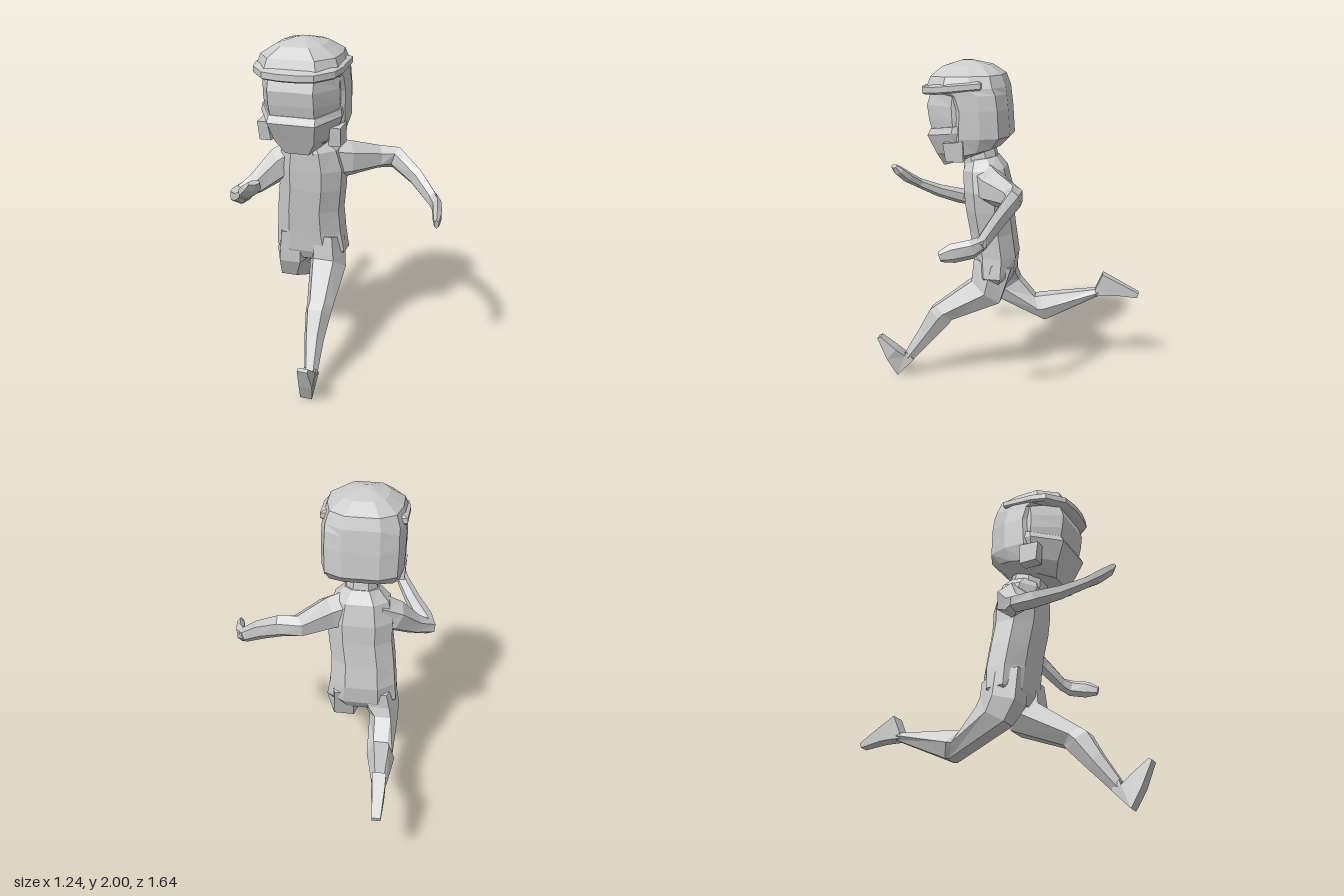
import * as THREE from 'three';

const V = (x, y, z) => new THREE.Vector3(x, y, z);
const material = new THREE.MeshStandardMaterial({ color: 0xcccccc, flatShading: true });

// Half outlines [x, t]: x = share of the half width, t = 0 at the first edge, 1 at the second
const HEX = [[0.55, 0], [1, 0.5], [0.55, 1]];
const OCT = [[0.5, 0], [1, 0.28], [1, 0.72], [0.5, 1]];
const BOX = [[1, 0], [1, 1]];
const SKULL = [[0.45, 0], [0.87, 0.14], [1, 0.42], [1, 0.75], [0.62, 1]];
const FACE = [[0.97, 0], [1, 0.35], [0.58, 1]];

// Closed, faceted skin over a list of point rings
function loft(name, rings) {
  const n = rings[0].length;
  const tris = [];
  for (let i = 0; i < rings.length - 1; i++) {
    for (let j = 0; j < n; j++) {
      const k = (j + 1) % n;
      const [a, b, c, d] = [rings[i][j], rings[i][k], rings[i + 1][k], rings[i + 1][j]];
      tris.push([a, b, c], [a, c, d]);
    }
  }
  const cap = (ring, flip) => {
    const mid = ring.reduce((s, p) => s.add(p), V(0, 0, 0)).divideScalar(n);
    ring.forEach((p, j) => {
      const q = ring[(j + 1) % n];
      tris.push(flip ? [mid, q, p] : [mid, p, q]);
    });
  };
  cap(rings[0], true);
  cap(rings[rings.length - 1], false);
  // turn the skin outward if its enclosed volume is negative
  const volume = tris.reduce((s, [a, b, c]) => s + a.dot(b.clone().cross(c)), 0);
  const points = tris.flatMap(([a, b, c]) => (volume < 0 ? [a, c, b] : [a, b, c]));
  const geometry = new THREE.BufferGeometry().setFromPoints(points);
  geometry.computeVertexNormals();
  const mesh = new THREE.Mesh(geometry, material);
  mesh.name = name;
  return mesh;
}

// Sections symmetric in x: [centre x, half width, z1, y1, z2, y2]
function sections(name, outline, list) {
  return loft(name, list.map(([cx, hw, z1, y1, z2, y2]) => {
    const side = (s) => ([x, t]) => V(cx + s * hw * x, y1 + (y2 - y1) * t, z1 + (z2 - z1) * t);
    return [...outline.map(side(1)), ...outline.map(side(-1)).reverse()];
  }));
}

// Limb along a path: [x, y, z, half height, half thickness]
function limb(name, list, sides = 6) {
  const p = list.map(([x, y, z]) => V(x, y, z));
  return loft(name, list.map(([, , , h, w], i) => {
    const dir = p[Math.min(i + 1, p.length - 1)].clone().sub(p[Math.max(i - 1, 0)]).normalize();
    const across = dir.clone().cross(V(0, 1, 0)).normalize();
    const up = across.clone().cross(dir);
    return Array.from({ length: sides }, (_, j) => {
      const a = ((j + 0.5) / sides) * Math.PI * 2;
      return p[i].clone().addScaledVector(across, w * Math.cos(a)).addScaledVector(up, h * Math.sin(a));
    });
  }));
}

// Head: shell with an open front, face panel, jaw mask and cap brim
function makeHead() {
  const head = new THREE.Group();
  head.name = 'head';
  const c = -0.165;
  head.add(sections('headShell', SKULL, [
    [c, 0.12, 0.11, 1.47, 0.31, 1.4],
    [c, 0.215, 0.04, 1.5, 0.34, 1.43],
    [c, 0.24, -0.02, 1.56, 0.36, 1.55],
    [c, 0.243, -0.01, 1.72, 0.35, 1.72],
    [c, 0.24, 0, 1.81, 0.38, 1.8],
    [c, 0.24, 0.005, 1.85, 0.475, 1.84],
    [c, 0.215, 0.03, 1.92, 0.45, 1.91],
    [c, 0.13, 0.11, 1.975, 0.39, 1.965],
    [c, 0.03, 0.22, 2, 0.28, 2],
  ]));
  head.add(sections('face', FACE, [
    [c, 0.215, 0.22, 1.55, 0.44, 1.55],
    [c, 0.225, 0.22, 1.66, 0.465, 1.66],
    [c, 0.225, 0.22, 1.74, 0.475, 1.74],
    [c, 0.225, 0.22, 1.82, 0.45, 1.82],
  ]));
  head.add(sections('jawMask', FACE, [
    [c, 0.12, 0.24, 1.42, 0.39, 1.37],
    [c, 0.2, 0.22, 1.48, 0.425, 1.45],
    [c, 0.238, 0.22, 1.6, 0.475, 1.56],
    [c, 0.232, 0.22, 1.64, 0.455, 1.6],
  ]));
  const brimHalf = [[1, 0], [1.02, 0.5], [0.95, 0.72], [0.6, 0.95], [0.2, 1]];
  head.add(sections('capBrim', brimHalf, [
    [c, 0.235, 0.14, 1.84, 0.5, 1.8],
    [c, 0.245, 0.13, 1.85, 0.52, 1.81],
    [c, 0.245, 0.13, 1.88, 0.52, 1.845],
    [c, 0.22, 0.15, 1.89, 0.48, 1.86],
  ]));
  // cheek flaps beside the mask
  for (const s of [-1, 1]) {
    head.add(sections('cheekFlap', BOX, [
      [c + s * 0.205, 0.035, 0.24, 1.42, 0.345, 1.42],
      [c + s * 0.215, 0.03, 0.24, 1.54, 0.36, 1.53],
    ]));
  }
  return head;
}

export function createModel() {
  const runner = new THREE.Group();
  runner.name = 'runner';
  runner.add(makeHead());

  runner.add(sections('neck', OCT, [
    [-0.165, 0.1, 0.06, 1.35, 0.27, 1.33],
    [-0.165, 0.085, 0.09, 1.5, 0.28, 1.48],
  ]));
  runner.add(sections('torso', OCT, [
    [-0.165, 0.1, 0.07, 1.43, 0.25, 1.4],
    [-0.165, 0.165, 0.02, 1.36, 0.27, 1.34],
    [-0.165, 0.195, -0.01, 1.23, 0.265, 1.22],
    [-0.17, 0.19, -0.015, 1.1, 0.255, 1.1],
    [-0.19, 0.19, -0.03, 0.95, 0.235, 0.96],
    [-0.195, 0.2, -0.05, 0.8, 0.215, 0.82],
    [-0.19, 0.215, -0.035, 0.68, 0.2, 0.69],
    [-0.19, 0.16, 0.01, 0.61, 0.17, 0.63],
  ]));

  // Left leg reaches forward
  runner.add(sections('leftLeg', HEX, [
    [-0.085, 0.1, 0.2, 0.8, -0.03, 0.74],
    [-0.08, 0.115, 0.215, 0.655, 0.04, 0.52],
    [-0.04, 0.08, 0.44, 0.49, 0.34, 0.4],
    [-0.04, 0.078, 0.48, 0.46, 0.36, 0.37],
    [-0.035, 0.06, 0.55, 0.33, 0.47, 0.25],
    [-0.015, 0.04, 0.65, 0.16, 0.61, 0.1],
  ]));
  runner.add(sections('leftFoot', BOX, [
    [-0.015, 0.036, 0.64, 0.17, 0.59, 0.12],
    [-0.02, 0.036, 0.65, 0.14, 0.7, 0.005],
    [0, 0.04, 0.7, 0.19, 0.76, 0.12],
    [0.005, 0.03, 0.8, 0.27, 0.82, 0.26],
  ]));

  // Right leg kicks back
  runner.add(sections('rightLeg', HEX, [
    [-0.29, 0.11, 0.2, 0.8, -0.03, 0.75],
    [-0.305, 0.12, 0.19, 0.6, -0.03, 0.65],
    [-0.335, 0.09, 0.13, 0.48, -0.05, 0.59],
    [-0.335, 0.08, -0.21, 0.325, -0.15, 0.475],
    [-0.345, 0.085, -0.23, 0.325, -0.18, 0.48],
    [-0.365, 0.042, -0.57, 0.49, -0.55, 0.53],
  ]));
  runner.add(sections('rightFoot', BOX, [
    [-0.365, 0.038, -0.54, 0.49, -0.54, 0.53],
    [-0.365, 0.04, -0.61, 0.495, -0.585, 0.635],
    [-0.37, 0.036, -0.67, 0.495, -0.66, 0.595],
    [-0.375, 0.025, -0.81, 0.48, -0.82, 0.51],
  ]));

  // Left arm swings out and back
  runner.add(limb('leftArm', [
    [-0.08, 1.27, 0.12, 0.13, 0.1],
    [0.03, 1.26, 0.06, 0.11, 0.095],
    [0.18, 1.245, -0.07, 0.07, 0.07],
    [0.28, 1.245, -0.085, 0.07, 0.045],
    [0.42, 1.16, -0.02, 0.06, 0.035],
    [0.55, 1.05, 0.06, 0.045, 0.03],
  ]));
  runner.add(limb('leftHand', [
    [0.53, 1.07, 0.04, 0.04, 0.03],
    [0.575, 1.04, 0.1, 0.055, 0.03],
    [0.6, 1.02, 0.2, 0.055, 0.028],
    [0.612, 1, 0.27, 0.03, 0.016],
  ]));

  // Right arm bends forward
  runner.add(limb('rightArm', [
    [-0.25, 1.27, 0.12, 0.12, 0.1],
    [-0.36, 1.22, 0.16, 0.1, 0.09],
    [-0.48, 1.11, 0.25, 0.065, 0.06],
    [-0.565, 1.06, 0.31, 0.05, 0.055],
    [-0.53, 1.08, 0.38, 0.05, 0.06],
    [-0.45, 1.13, 0.51, 0.04, 0.05],
    [-0.37, 1.2, 0.64, 0.03, 0.04],
  ]));
  runner.add(limb('rightHand', [
    [-0.38, 1.19, 0.62, 0.03, 0.04],
    [-0.33, 1.24, 0.69, 0.035, 0.06],
    [-0.285, 1.29, 0.735, 0.03, 0.055],
    [-0.265, 1.32, 0.755, 0.015, 0.035],
  ]));
  return runner;
}
